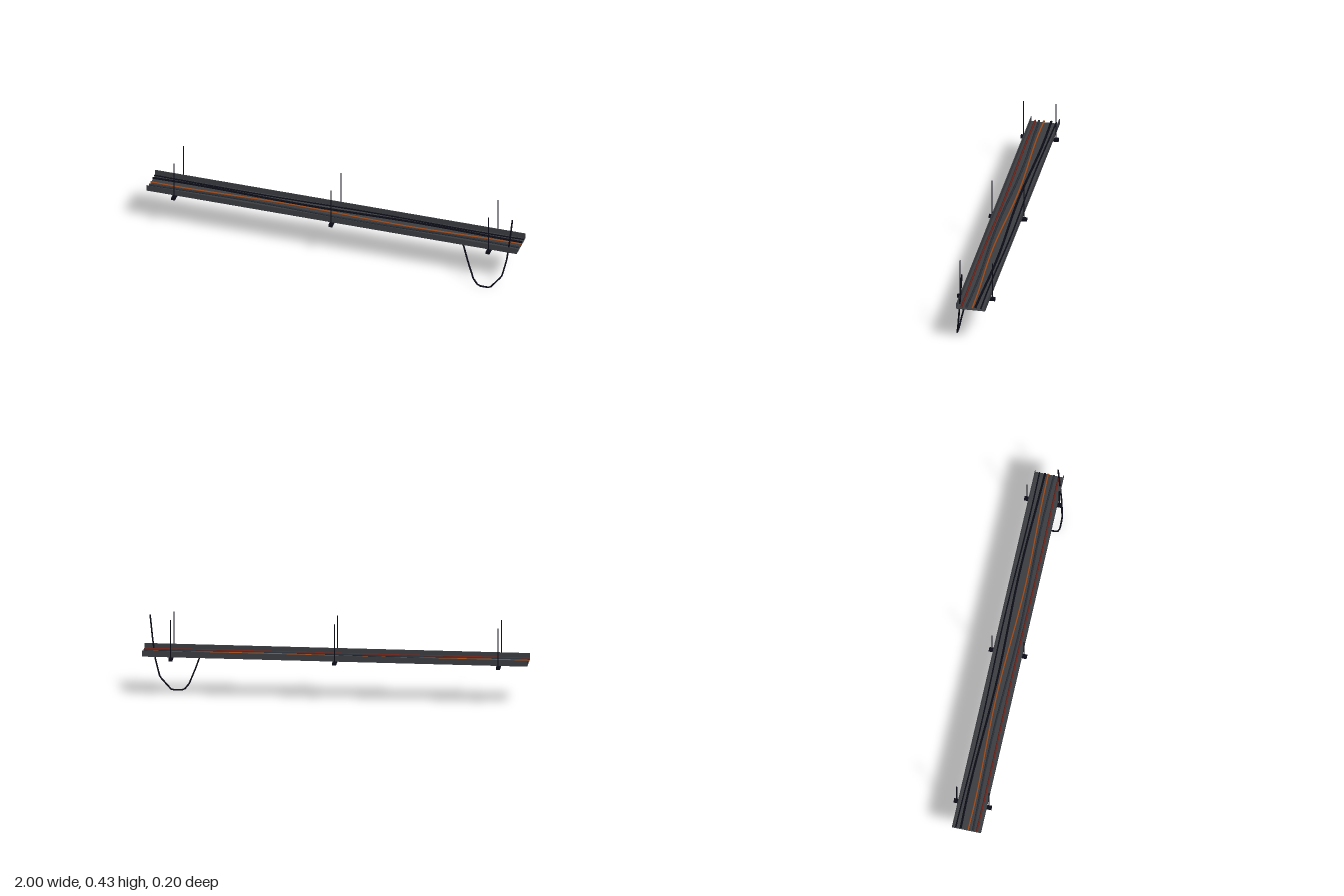
import * as THREE from 'three';

export function createModel() {
  const model = new THREE.Group();
  model.name = 'cableTray';

  const paint = (name, color) => {
    const m = new THREE.MeshStandardMaterial({ color });
    m.name = name;
    return m;
  };
  const steel = paint('tray grey', 0x3b3d41);
  const black = paint('blue black', 0x0c0c18);
  const slate = paint('slate cable', 0x2a3038);
  const orange = paint('orange cable', 0x9a4a1c);
  const red = paint('red cable', 0x6e2218);

  const add = (name, geometry, material, x = 0, y = 0, z = 0) => {
    const mesh = new THREE.Mesh(geometry, material);
    mesh.name = name;
    mesh.position.set(x, y, z);
    model.add(mesh);
  };

  // Open tray: floor and two side walls
  const mid = -0.002;
  add('trayFloor', new THREE.BoxGeometry(2, 0.003, 0.15), steel, 0, 0.2295, mid);
  for (const side of [1, -1]) {
    add('trayWall', new THREE.BoxGeometry(2, 0.032, 0.003), steel, 0, 0.244, mid + side * 0.0745);
  }

  // Three hangers, each a strut with a pair of rods
  for (const x of [-0.85, 0, 0.85]) {
    add('strut', new THREE.BoxGeometry(0.02, 0.015, 0.2), black, x, 0.2205, mid);
    for (const side of [1, -1]) {
      add('hangerRod', new THREE.CylinderGeometry(0.003, 0.003, 0.204, 6), black, x, 0.328, mid + side * 0.085);
    }
  }

  // Cables wandering along the tray: z, y, radius, sway, phase, material
  const cables = [
    [0.05, 0.237, 0.005, 0.002, 0.4, red],
    [0.025, 0.2375, 0.0055, 0.0065, 2.1, slate],
    [-0.001, 0.2375, 0.005, 0.008, 0.9, orange],
    [-0.0305, 0.239, 0.006, 0.0065, 3.6, black],
    [-0.056, 0.2375, 0.004, 0.004, 5.0, black],
  ];
  for (const [z, y, radius, sway, phase, material] of cables) {
    const points = [];
    for (let i = 0; i <= 12; i++) {
      points.push(new THREE.Vector3(-1 + i / 6, y, z + sway * Math.sin(i * 0.85 + phase)));
    }
    const path = new THREE.CatmullRomCurve3(points);
    add('cable', new THREE.TubeGeometry(path, 40, radius, 6), material);
  }

  // Loose cable sagging below the tray and rising past its end
  const loop = [
    [0.70, 0.235, 0.052], [0.735, 0.135, 0.073], [0.772, 0.042, 0.092],
    [0.80, 0.008, 0.097], [0.862, 0.007, 0.096], [0.922, 0.08, 0.08],
    [0.945, 0.18, 0.069], [0.958, 0.29, 0.06], [0.97, 0.42, 0.05],
  ].map((p) => new THREE.Vector3(...p));
  const sag = new THREE.CurvePath();
  for (let i = 1; i < loop.length; i++) sag.add(new THREE.LineCurve3(loop[i - 1], loop[i]));
  add('looseCable', new THREE.TubeGeometry(sag, 40, 0.0045, 6), black);

  return model;
}
